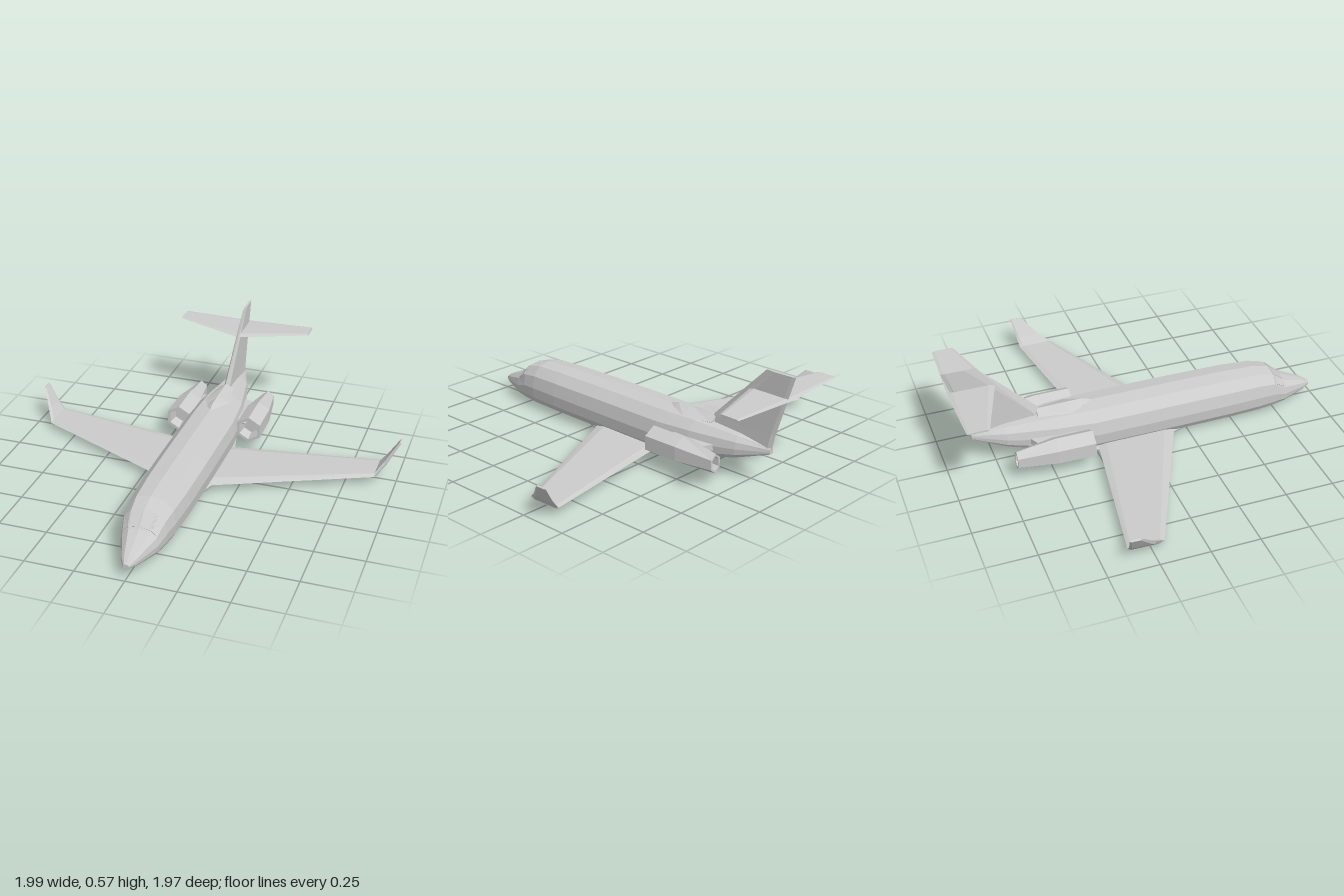
import * as THREE from 'three';

const material = new THREE.MeshStandardMaterial({ color: 0xcccccc, flatShading: true });
const v = (x, y, z) => new THREE.Vector3(x, y, z);

// Skins a list of equal-length closed rings and caps both ends, facing outward.
function loft(name, rings) {
  const tris = [];
  const n = rings[0].length;
  for (let i = 0; i < rings.length - 1; i++) {
    for (let j = 0; j < n; j++) {
      const k = (j + 1) % n;
      const a = rings[i][j], b = rings[i][k], c = rings[i + 1][k], d = rings[i + 1][j];
      tris.push([a, b, c], [a, c, d]);
    }
  }
  const last = rings[rings.length - 1];
  for (let j = 1; j < n - 1; j++) {
    tris.push([rings[0][0], rings[0][j + 1], rings[0][j]], [last[0], last[j], last[j + 1]]);
  }
  // Positive enclosed volume means the faces point outward
  const volume = tris.reduce((s, [a, b, c]) => s + a.dot(b.clone().cross(c)), 0);
  if (volume < 0) tris.forEach((t) => t.reverse());
  const geometry = new THREE.BufferGeometry().setFromPoints(tris.flat());
  geometry.computeVertexNormals();
  const mesh = new THREE.Mesh(geometry, material);
  mesh.name = name;
  return mesh;
}

// Body section: half profile as fractions of half width and height, top to bottom.
const HALF = [[0, 1], [0.57, 0.95], [0.9, 0.74], [1, 0.45], [0.96, 0.2], [0.82, 0.06], [0, 0]];
function bodyRing([z, w, y0, y1]) {
  const right = HALF.map(([fx, fy]) => v(fx * w, y0 + fy * (y1 - y0), z));
  const left = right.slice(1, -1).reverse().map((p) => v(-p.x, p.y, p.z));
  return [...right, ...left];
}

// Wing section: thin six-point blade from leading to trailing edge, tilted about z.
function blade(x, y, front, back, t, tilt = 0) {
  const at = (f, s) => v(x - Math.sin(tilt) * s * t, y + Math.cos(tilt) * s * t, front + (back - front) * f);
  return [at(0, 0), at(0.13, 1), at(0.9, 0.7), at(1, 0), at(0.9, -0.7), at(0.13, -1)];
}

const mirrorRing = (ring) => ring.map((p) => v(-p.x, p.y, p.z));
// Continuous span from left tip to right tip, from sections of one side.
const span = (sections) => [...sections.slice().reverse().map(mirrorRing), ...sections];

// z, half width, bottom, top
const BODY = [
  [0.98, 0.015, 0.058, 0.077],
  [0.94, 0.04, 0.048, 0.103],
  [0.81, 0.092, 0.03, 0.158],
  [0.735, 0.112, 0.024, 0.222],
  [0.65, 0.125, 0.021, 0.243],
  [0.48, 0.135, 0.02, 0.25],
  [0.2, 0.138, 0.018, 0.251],
  [-0.25, 0.138, 0.016, 0.248],
  [-0.45, 0.122, 0.045, 0.244],
  [-0.7, 0.072, 0.105, 0.222],
  [-0.865, 0.012, 0.16, 0.192],
];

// Cockpit panes laid just above the two sloping body stations.
function windscreen() {
  const group = new THREE.Group();
  group.name = 'windscreen';
  const low = bodyRing(BODY[2]), high = bodyRing(BODY[3]);
  const panes = [[0, 1, 0.08, 0.92], [1, 2, 0.08, 0.92]];
  for (const side of [1, -1]) {
    for (const [i, j, f0, f1] of panes) {
      const point = (f, g) => {
        const p = low[i].clone().lerp(low[j], f).lerp(high[i].clone().lerp(high[j], f), g);
        return v(p.x * side, p.y, p.z);
      };
      const ring = [point(f0, 0.12), point(f1, 0.12), point(f1, 0.88), point(f0, 0.88)];
      const normal = ring[1].clone().sub(ring[0]).cross(ring[3].clone().sub(ring[0])).normalize();
      if (normal.y < 0) normal.negate();
      const shift = (d) => ring.map((p) => p.clone().addScaledVector(normal, d));
      group.add(loft('windscreenPane', [shift(-0.004), shift(0.003)]));
    }
  }
  return group;
}

// Six-sided engine pod with hollow intake and exhaust, and its pylon.
function engine(side) {
  const group = new THREE.Group();
  group.name = side > 0 ? 'leftEngine' : 'rightEngine';
  const hex = (x, y, z, r, ry = r) => Array.from({ length: 6 }, (_, i) => {
    const a = (i * Math.PI) / 3;
    return v(side * (x + Math.sin(a) * r), y + Math.cos(a) * ry, z);
  });
  group.add(loft('nacelle', [
    hex(0.194, 0.13, -0.36, 0.045),
    hex(0.194, 0.13, -0.3, 0.056),
    hex(0.194, 0.13, -0.3, 0.072),
    hex(0.194, 0.13, -0.49, 0.071),
    hex(0.194, 0.122, -0.69, 0.036, 0.05),
    hex(0.194, 0.122, -0.69, 0.026, 0.038),
    hex(0.194, 0.122, -0.64, 0.022, 0.032),
  ]));
  const pylon = (x, front, back) => [
    v(side * x, 0.15, front), v(side * x, 0.165, front - 0.05),
    v(side * x, 0.155, back), v(side * x, 0.125, back), v(side * x, 0.12, front - 0.05),
  ];
  group.add(loft('pylon', [pylon(0.07, -0.31, -0.6), pylon(0.17, -0.33, -0.55)]));
  return group;
}

export function createModel() {
  const model = new THREE.Group();
  model.name = 'businessJet';

  model.add(loft('fuselage', BODY.map(bodyRing)), windscreen());

  // Belly fairing around the wing centre section
  model.add(loft('bellyFairing', [
    [0.36, 0.06, 0.018, 0.04],
    [0.12, 0.136, 0.002, 0.062],
    [-0.25, 0.136, 0, 0.062],
    [-0.48, 0.09, 0.046, 0.08],
  ].map(bodyRing)));

  // Swept wing
  model.add(loft('wing', span([
    blade(0, 0.038, 0.22, -0.235, 0.016),
    blade(0.14, 0.042, 0.155, -0.25, 0.015),
    blade(0.9, 0.039, -0.19, -0.37, 0.01),
  ])));

  // Upturned wing tips
  for (const side of [1, -1]) {
    const rings = [
      blade(0.895, 0.039, -0.188, -0.37, 0.01, 0.3),
      blade(0.935, 0.085, -0.25, -0.377, 0.009, 1),
      blade(0.993, 0.174, -0.335, -0.394, 0.005, 1.1),
    ];
    model.add(loft(side > 0 ? 'leftWinglet' : 'rightWinglet', side > 0 ? rings : rings.map(mirrorRing)));
    model.add(engine(side));
  }

  // Fin: horizontal blade sections stacked upward
  const finRing = (y, front, back, t) => [
    v(0, y, front), v(t, y, front - 0.05), v(t * 0.7, y, back + 0.02),
    v(0, y, back), v(-t * 0.7, y, back + 0.02), v(-t, y, front - 0.05),
  ];
  model.add(loft('fin', [
    finRing(0.18, -0.44, -0.866, 0.018),
    finRing(0.262, -0.51, -0.885, 0.015),
    finRing(0.572, -0.82, -0.985, 0.007),
  ]));

  // Pointed dorsal fairing ahead of the fin
  const dorsalRing = (z, w, y0, y1) => [v(0, y1, z), v(w, y0, z), v(0, y0 - 0.03, z), v(-w, y0, z)];
  model.add(loft('dorsalFairing', [
    dorsalRing(-0.235, 0.002, 0.245, 0.247),
    dorsalRing(-0.29, 0.032, 0.243, 0.265),
    dorsalRing(-0.37, 0.066, 0.236, 0.265),
    dorsalRing(-0.53, 0.04, 0.236, 0.263),
  ]));

  // Tailplane high on the fin
  model.add(loft('tailplane', span([
    blade(0, 0.453, -0.725, -0.963, 0.01),
    blade(0.365, 0.465, -0.845, -0.953, 0.005),
  ])));

  return model;
}
